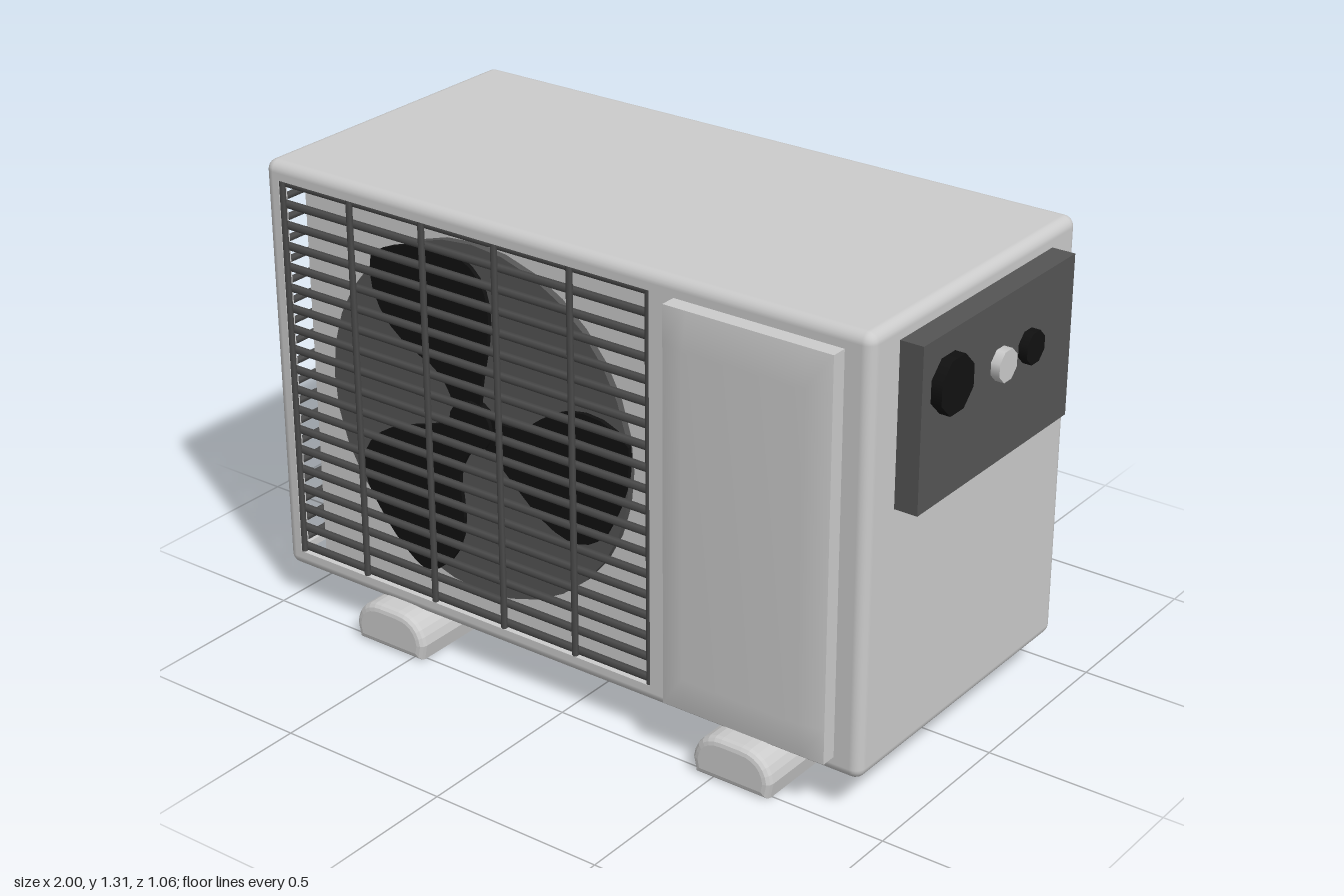
import * as THREE from 'three';
import { RoundedBoxGeometry } from 'three/addons/geometries/RoundedBoxGeometry.js';

const paint = (color) => new THREE.MeshStandardMaterial({ color });
const grey = paint(0xcccccc), dark = paint(0x555555), barGrey = paint(0x4a4a4a), black = paint(0x111111);
const R = 0.03; // casing edge radius
const W = 1.905, H = 1.2, D = 0.935, CX = -0.0475, CY = 0.71;

function add(parent, name, geometry, material, x = 0, y = 0, z = 0) {
  const mesh = new THREE.Mesh(geometry, material);
  mesh.name = name;
  mesh.position.set(x, y, z);
  parent.add(mesh);
  return mesh;
}

// Box given by its limits
function block(parent, name, material, [x0, x1], [y0, y1], [z0, z1]) {
  return add(parent, name, new THREE.BoxGeometry(x1 - x0, y1 - y0, z1 - z0), material,
    (x0 + x1) / 2, (y0 + y1) / 2, (z0 + z1) / 2);
}

// Rounded casing without its flat front and grille-side faces
function casingShell() {
  const src = new RoundedBoxGeometry(W, H, D, 3, R);
  const p = src.attributes.position, n = src.attributes.normal;
  const pos = [], nor = [];
  for (let i = 0; i < p.count; i += 3) {
    const ids = [i, i + 1, i + 2];
    const front = ids.every((k) => p.getZ(k) > D / 2 - 1e-4);
    const side = ids.every((k) => p.getX(k) < -W / 2 + 1e-4);
    if (front || side) continue;
    for (const k of ids) {
      pos.push(p.getX(k), p.getY(k), p.getZ(k));
      nor.push(n.getX(k), n.getY(k), n.getZ(k));
    }
  }
  const g = new THREE.BufferGeometry();
  g.setAttribute('position', new THREE.Float32BufferAttribute(pos, 3));
  g.setAttribute('normal', new THREE.Float32BufferAttribute(nor, 3));
  return g;
}

function rect(path, x0, y0, x1, y1) {
  path.moveTo(x0, y0);
  path.lineTo(x1, y0);
  path.lineTo(x1, y1);
  path.lineTo(x0, y1);
  path.closePath();
  return path;
}

// Flat plate with rectangular openings, outer surface at z = 0
function frame(outer, holes) {
  const shape = rect(new THREE.Shape(), ...outer);
  for (const h of holes) shape.holes.push(rect(new THREE.Path(), ...h));
  return new THREE.ExtrudeGeometry(shape, { depth: 0.03, bevelEnabled: false }).translate(0, 0, -0.03);
}

function bar(parent, name, length, radius, axis, x, y, z) {
  const g = new THREE.CylinderGeometry(radius, radius, length, 6);
  if (axis === 'x') g.rotateZ(Math.PI / 2);
  if (axis === 'z') g.rotateX(Math.PI / 2);
  return add(parent, name, g, barGrey, x, y, z);
}

function createCasing() {
  const casing = new THREE.Group();
  casing.name = 'casing';
  add(casing, 'shell', casingShell(), grey, CX, CY, 0);
  add(casing, 'frontFrame',
    frame([-1 + R, 0.11 + R, 0.905 - R, 1.31 - R], [[-0.95, 0.16, 0.265, 1.26]]), grey, 0, 0, D / 2);
  const side = add(casing, 'sideFrame',
    frame([-D / 2 + R, 0.11 + R, D / 2 - R, 1.31 - R],
      [[-0.425, 0.16, -0.08, 1.26], [0.05, 0.16, 0.425, 1.26]]), grey, -1, 0, 0);
  side.rotation.y = -Math.PI / 2;
  block(casing, 'innerCore', grey, [-0.93, 0.5], [0.13, 1.29], [-0.44, 0.39]);
  return casing;
}

function createFan() {
  const fan = new THREE.Group();
  fan.name = 'fan';
  fan.position.set(-0.34, 0.71, 0.395);
  add(fan, 'fanOpening', new THREE.CylinderGeometry(0.5, 0.5, 0.03, 32).rotateX(Math.PI / 2), dark);
  add(fan, 'fanHub', new THREE.CylinderGeometry(0.07, 0.07, 0.04, 16).rotateX(Math.PI / 2), black, 0, 0, 0.025);
  const shape = new THREE.Shape();
  shape.moveTo(0.03, 0.02);
  shape.bezierCurveTo(0.02, 0.13, 0.06, 0.2, 0.065, 0.3);
  shape.bezierCurveTo(0.07, 0.4, 0.02, 0.46, -0.06, 0.47);
  shape.bezierCurveTo(-0.16, 0.47, -0.27, 0.45, -0.33, 0.4);
  shape.bezierCurveTo(-0.36, 0.3, -0.29, 0.19, -0.17, 0.15);
  shape.bezierCurveTo(-0.1, 0.13, -0.07, 0.08, -0.05, 0);
  const blade = new THREE.ExtrudeGeometry(shape, { depth: 0.012, bevelEnabled: false, curveSegments: 6 });
  for (let i = 0; i < 3; i++) {
    add(fan, 'fanBlade', blade, black, 0, 0, 0.022).rotation.z = (i * Math.PI * 2) / 3;
  }
  return fan;
}

function createGrilles() {
  const grilles = new THREE.Group();
  grilles.name = 'grilles';
  const rows = 19;
  for (let i = 0; i < rows; i++) {
    const y = 0.17 + (1.08 * i) / (rows - 1);
    bar(grilles, 'frontGrilleBar', 1.215, 0.011, 'x', -0.3425, y, 0.447);
    bar(grilles, 'sideGrilleBar', 0.345, 0.011, 'z', -0.985, y, -0.2525);
    bar(grilles, 'sideGrilleBar', 0.375, 0.011, 'z', -0.985, y, 0.2375);
  }
  for (const x of [-0.945, -0.71, -0.465, -0.225, 0.015, 0.258]) {
    bar(grilles, 'frontGrilleUpright', 1.1, 0.009, 'y', x, 0.71, 0.459);
  }
  return grilles;
}

// Raised cover with a sloped border around its flat face
function coverGeometry(w, h, d) {
  const g = new THREE.BoxGeometry(w, h, d, 3, 3, 1);
  const p = g.attributes.position;
  for (let i = 0; i < p.count; i++) {
    const x = p.getX(i), y = p.getY(i);
    const edge = Math.abs(x) > w * 0.49 || Math.abs(y) > h * 0.49;
    if (Math.abs(x) < w * 0.49) p.setX(i, Math.sign(x) * (w / 2 - 0.07));
    if (Math.abs(y) < h * 0.49) p.setY(i, Math.sign(y) * (h / 2 - 0.1));
    if (edge && p.getZ(i) > 0) p.setZ(i, d / 2 - 0.018);
  }
  g.computeVertexNormals();
  return g;
}

function createConnectionBox() {
  const box = new THREE.Group();
  box.name = 'connectionBox';
  block(box, 'connectionPlate', dark, [0.9, 0.97], [0.82, 1.26], [-0.345, 0.35]);
  const ports = [[0.24, 1.13, 0.077, 1.0, black], [0, 1.09, 0.044, 0.995, grey], [-0.13, 1.09, 0.045, 0.995, black]];
  for (const [z, y, r, end, material] of ports) {
    const g = new THREE.CylinderGeometry(r, r, end - 0.95, 8).rotateZ(-Math.PI / 2);
    g.rotateX(Math.PI / 8);
    add(box, 'pipePort', g, material, (end + 0.95) / 2, y, z);
  }
  return box;
}

// Long foot with a flat sole and a rounded top
function footGeometry() {
  const b = 0.02;
  const s = new THREE.Shape();
  s.moveTo(-0.095, b);
  s.lineTo(0.095, b);
  s.lineTo(0.1, 0.045);
  s.bezierCurveTo(0.095, 0.085, 0.07, 0.105, 0.03, 0.105);
  s.lineTo(-0.03, 0.105);
  s.bezierCurveTo(-0.07, 0.105, -0.095, 0.085, -0.1, 0.045);
  s.closePath();
  const len = 1.055;
  return new THREE.ExtrudeGeometry(s, {
    depth: len - 2 * b, bevelEnabled: true, bevelSize: b, bevelThickness: b, bevelSegments: 3, curveSegments: 6,
  }).translate(0, 0, -len / 2 + b);
}

export function createModel() {
  const model = new THREE.Group();
  model.name = 'outdoorUnit';
  model.add(createCasing(), createFan(), createGrilles(), createConnectionBox());
  add(model, 'frontCover', coverGeometry(0.49, 1.1, 0.08), grey, 0.585, 0.71, 0.49);
  const foot = footGeometry();
  for (const x of [-0.58, 0.56]) add(model, 'foot', foot, grey, x, 0, 0);
  return model;
}
